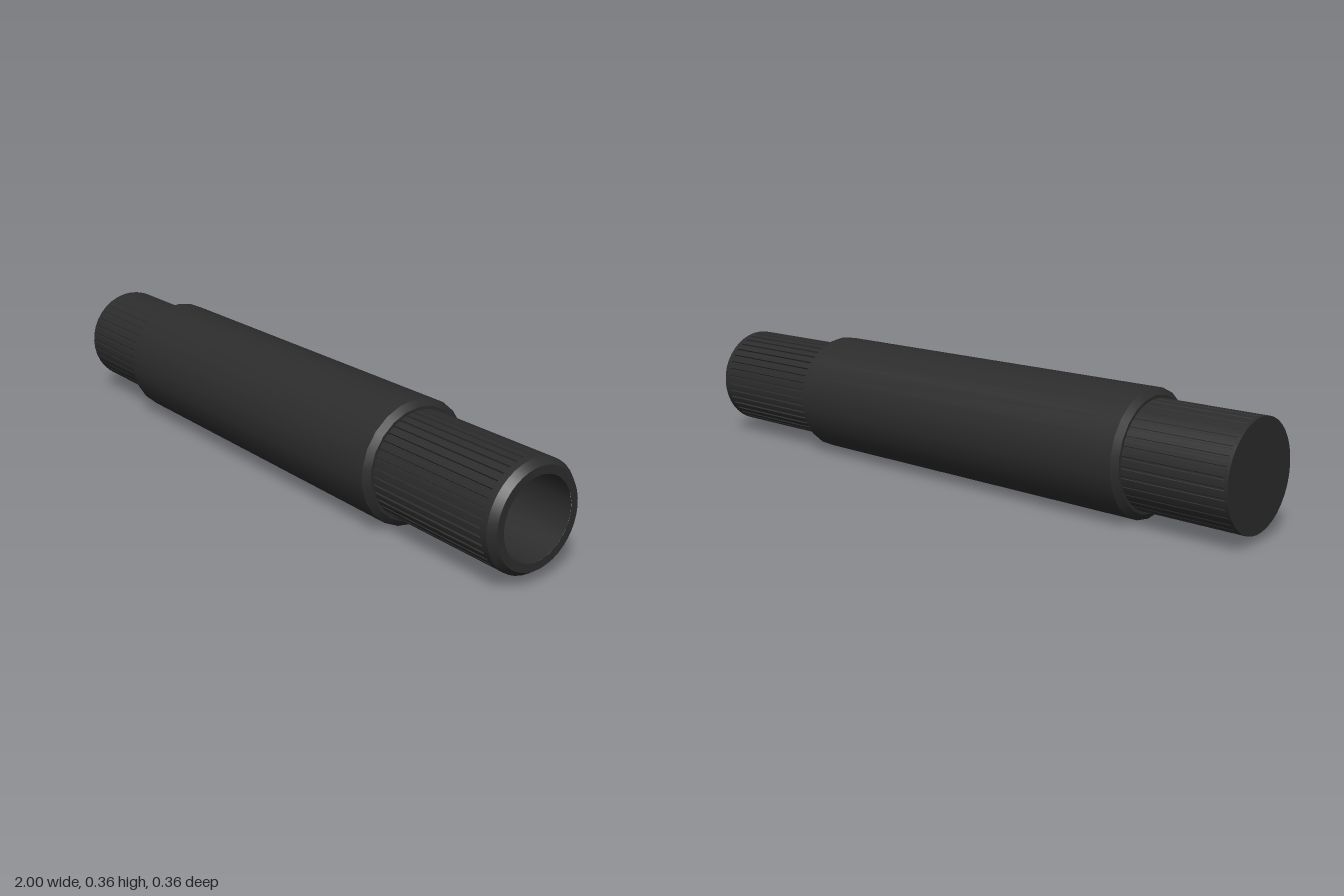
import * as THREE from 'three';

const AXIS_Y = 0.181;
const SIDES = 22;

export function createModel() {
  const group = new THREE.Group();
  const black = new THREE.MeshStandardMaterial({ color: 0x2c2c2c });
  black.name = 'matte black';

  function add(name, geometry) {
    const mesh = new THREE.Mesh(geometry, black);
    mesh.name = name;
    mesh.position.y = AXIS_Y;
    group.add(mesh);
  }

  // Revolves each [x, radius] span separately so the rims stay sharp
  function turned(name, profile, sides) {
    for (let i = 0; i < profile.length - 1; i++) {
      const points = [profile[i], profile[i + 1]].map(([x, r]) => new THREE.Vector2(r, x));
      const geometry = new THREE.LatheGeometry(points, sides);
      geometry.rotateY(Math.PI / 2).rotateZ(-Math.PI / 2);
      add(name, geometry);
    }
  }

  // Tube with narrow lengthwise grooves cut into its outside
  function fluted(name, x0, x1, radius, depth, count) {
    const shape = new THREE.Shape();
    const step = (Math.PI * 2) / count;
    for (let i = 0; i < count; i++) {
      [[0, radius], [0.35, radius], [0.7, radius], [0.76, radius - depth], [0.94, radius - depth]]
        .forEach(([t, r], k) => {
          const a = (i + t) * step;
          const p = [Math.cos(a) * r, Math.sin(a) * r];
          if (i + k === 0) shape.moveTo(...p);
          else shape.lineTo(...p);
        });
    }
    shape.closePath();
    shape.holes.push(new THREE.Path().absarc(0, 0, 0.13, 0, Math.PI * 2, true));
    const geometry = new THREE.ExtrudeGeometry(shape, {
      depth: x1 - x0, bevelEnabled: false, curveSegments: 16,
    });
    geometry.rotateY(Math.PI / 2).translate(x0, 0, 0);
    add(name, geometry);
  }

  // Main barrel with chamfered shoulders
  turned('barrel', [
    [-0.685, 0.14], [-0.685, 0.163], [-0.67, 0.181],
    [0.545, 0.181], [0.56, 0.163], [0.56, 0.14],
  ], SIDES);

  // Closed rear collar with shallow grooves
  fluted('rearCollar', -0.995, -0.68, 0.154, 0.0015, 36);
  turned('rearCap', [[-1, 0], [-1, 0.154], [-0.99, 0.154]], 36);

  // Open front collar with deeper grooves, chamfered lip and blind bore
  fluted('frontCollar', 0.55, 0.96, 0.154, 0.005, 40);
  turned('frontLip', [
    [0.96, 0.13], [0.96, 0.154], [0.98, 0.154], [1, 0.139], [1, 0.116],
  ], 40);
  turned('bore', [[1, 0.116], [0.7, 0.116], [0.7, 0]], SIDES);

  return group;
}
